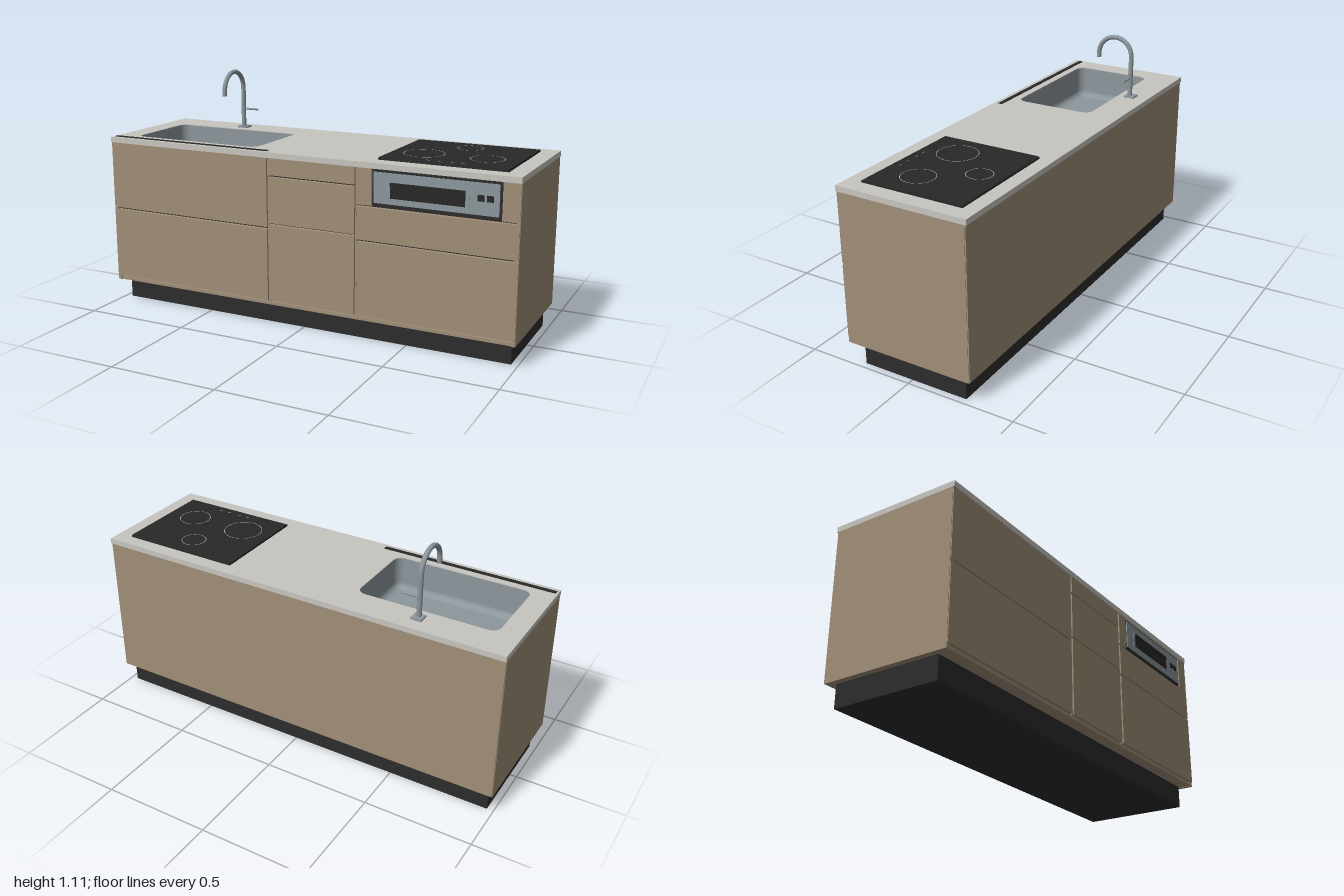
import * as THREE from 'three';

const mat = (name, color) => Object.assign(new THREE.MeshStandardMaterial({ color }), { name });

export function createModel() {
  const wood = mat('wood front', 0xa08e78);
  const stone = mat('stone worktop', 0xc6c5be);
  const dark = mat('dark plinth', 0x2c2c2c);
  const black = mat('black glass', 0x282829);
  const steel = mat('brushed steel', 0x8c969c);
  steel.side = THREE.DoubleSide;
  const mark = mat('hob marking', 0xa8a8a8);

  const model = new THREE.Group();
  model.name = 'kitchenIsland';
  const add = (name, geo, material, x = 0, y = 0, z = 0, parent = model) => {
    const m = new THREE.Mesh(geo, material);
    m.name = name;
    m.position.set(x, y, z);
    parent.add(m);
    return m;
  };
  // Box given by its limits on each axis
  const box = (name, material, x0, x1, y0, y1, z0, z1, parent) =>
    add(name, new THREE.BoxGeometry(x1 - x0, y1 - y0, z1 - z0), material,
      (x0 + x1) / 2, (y0 + y1) / 2, (z0 + z1) / 2, parent);
  const group = (name) => {
    const g = new THREE.Group();
    g.name = name;
    model.add(g);
    return g;
  };

  const TOP = 0.812, UNDER = 0.787;

  // Plinth and carcass, open at the top for the basin
  box('plinth', dark, -0.97, 0.97, 0, 0.104, -0.265, 0.24);
  const carcass = group('carcass');
  for (const s of [-1, 1])
    box('sidePanel', wood, Math.min(s, s * 0.982), Math.max(s, s * 0.982), 0.102, UNDER, -0.298, 0.3, carcass);
  box('backPanel', wood, -0.998, 0.998, 0.104, UNDER, -0.303, -0.292, carcass);
  box('bottomPanel', wood, -0.982, 0.982, 0.104, 0.119, -0.292, 0.298, carcass);
  box('shadowGap', dark, -0.982, 0.982, 0.119, UNDER, 0.272, 0.284, carcass);
  for (const x of [-0.147, 0.283])
    box('divider', wood, x - 0.0035, x + 0.0035, 0.104, UNDER, 0.27, 0.299, carcass);

  // Drawer fronts: [x0, x1, [y0, y1], ...]
  const fronts = group('drawerFronts');
  const columns = [
    [-0.998, -0.153, [0.125, 0.46], [0.47, UNDER]],
    [-0.141, 0.277, [0.125, 0.482], [0.49, 0.7], [0.709, UNDER]],
    [0.289, 0.998, [0.125, 0.46], [0.47, 0.617]],
  ];
  for (const [x0, x1, ...rows] of columns)
    for (const [y0, y1] of rows) box('drawerFront', wood, x0, x1, y0, y1, 0.284, 0.304, fronts);
  box('ovenFiller', wood, 0.289, 0.356, 0.625, UNDER, 0.284, 0.304, fronts);
  box('ovenFiller', wood, 0.924, 0.998, 0.625, UNDER, 0.284, 0.304, fronts);

  // Grill oven
  const oven = group('grillOven');
  box('ovenFrame', dark, 0.358, 0.922, 0.627, 0.783, 0.272, 0.3, oven);
  box('ovenFace', steel, 0.366, 0.912, 0.64, 0.774, 0.298, 0.305, oven);
  box('ovenDoor', steel, 0.426, 0.786, 0.658, 0.744, 0.3, 0.307, oven);
  box('ovenWindow', black, 0.442, 0.77, 0.667, 0.735, 0.303, 0.309, oven);
  box('ovenHandle', black, 0.442, 0.77, 0.72, 0.735, 0.305, 0.312, oven);
  for (const x of [0.835, 0.874])
    box('ovenButton', black, x - 0.014, x + 0.014, 0.698, 0.724, 0.302, 0.308, oven);

  // Rounded rectangle around the basin, shrunk by an inset
  const basin = { x0: -0.9, x1: -0.25, z0: -0.157, z1: 0.23, r: 0.042 };
  const outline = (inset) => {
    const { x0, x1, z0, z1, r } = basin, pts = [], rr = r - inset;
    [[x1 - r, z1 - r], [x0 + r, z1 - r], [x0 + r, z0 + r], [x1 - r, z0 + r]].forEach(([cx, cz], q) => {
      for (let i = 0; i <= 8; i++) {
        const a = (q + i / 8) * Math.PI / 2;
        pts.push(new THREE.Vector2(cx + rr * Math.cos(a), cz + rr * Math.sin(a)));
      }
    });
    return pts;
  };

  // Worktop with the basin cut out
  const slab = new THREE.Shape([[-1, -0.308], [1, -0.308], [1, 0.308], [-1, 0.308]]
    .map(([x, z]) => new THREE.Vector2(x, z)));
  slab.holes.push(new THREE.Path(outline(0)));
  add('worktop', new THREE.ExtrudeGeometry(slab, { depth: TOP - UNDER, bevelEnabled: false })
    .rotateX(Math.PI / 2), stone, 0, TOP, 0);
  box('worktopSlot', black, -0.99, -0.16, TOP - 0.002, TOP + 0.002, 0.265, 0.287);

  // Basin wall: loops going down, then a quarter-round into the floor
  const FLOOR = 0.657, sink = group('sink');
  const levels = [[0.001, TOP - 0.003], [0.003, FLOOR + 0.03]];
  for (let i = 1; i <= 6; i++) {
    const a = i / 6 * Math.PI / 2;
    levels.push([0.003 + 0.03 * (1 - Math.cos(a)), FLOOR + 0.03 * (1 - Math.sin(a))]);
  }
  const pos = [], idx = [], n = outline(0).length;
  levels.forEach(([inset, y], l) => {
    outline(inset).forEach((p, i) => {
      pos.push(p.x, y, p.y);
      if (l === 0) return;
      const j = (i + 1) % n, a = (l - 1) * n, b = l * n;
      idx.push(a + i, a + j, b + i, a + j, b + j, b + i);
    });
  });
  const wall = new THREE.BufferGeometry();
  wall.setAttribute('position', new THREE.Float32BufferAttribute(pos, 3));
  wall.setIndex(idx);
  wall.computeVertexNormals();
  add('basinWall', wall, steel, 0, 0, 0, sink);
  // Floor faces up: mirror the outline, then lay it down
  const floorShape = new THREE.Shape(outline(0.033).map((p) => new THREE.Vector2(p.x, -p.y)));
  add('basinFloor', new THREE.ShapeGeometry(floorShape).rotateX(-Math.PI / 2), steel, 0, FLOOR, 0, sink);

  // Drain with grille bars
  const dx = -0.395, dz = -0.024;
  add('drainRim', new THREE.TorusGeometry(0.029, 0.003, 8, 32).rotateX(Math.PI / 2), steel, dx, FLOOR + 0.002, dz, sink);
  for (const o of [-0.018, -0.006, 0.006, 0.018])
    box('drainSlot', black, dx + o - 0.004, dx + o + 0.004, FLOOR, FLOOR + 0.003, dz - 0.02, dz + 0.02, sink);

  // Tap: post, half-circle bend, short drop
  const tap = group('tap'), tx = -0.576, tz = -0.213, R = 0.0865, bendY = 1.012;
  const path = [new THREE.Vector3(0, TOP, 0), new THREE.Vector3(0, 0.91, 0)];
  for (let i = 0; i <= 16; i++) {
    const a = i / 16 * Math.PI;
    path.push(new THREE.Vector3(0, bendY + R * Math.sin(a), R - R * Math.cos(a)));
  }
  path.push(new THREE.Vector3(0, 0.99, 2 * R));
  add('spout', new THREE.TubeGeometry(new THREE.CatmullRomCurve3(path), 64, 0.0112, 16), steel, tx, 0, tz, tap);
  add('spoutTip', new THREE.CylinderGeometry(0.011, 0.011, 0.004, 16), dark, tx, 0.991, tz + 2 * R, tap);
  box('tapBase', steel, tx - 0.025, tx + 0.025, TOP, TOP + 0.008, -0.244, -0.194, tap);
  add('tapLever', new THREE.CylinderGeometry(0.005, 0.005, 0.08, 12).rotateZ(Math.PI / 2), steel, tx + 0.041, 0.907, tz, tap);

  // Induction hob
  const hob = group('hob'), hobTop = 0.822;
  box('hobGlass', black, 0.356, 0.925, TOP, hobTop, -0.238, 0.233, hob);
  for (const [z0, z1] of [[-0.242, -0.238], [0.233, 0.237]])
    box('hobTrim', dark, 0.356, 0.925, TOP, hobTop - 0.002, z0, z1, hob);
  for (const [x, z, r] of [[0.5, 0.07, 0.09], [0.64, -0.132, 0.057], [0.782, 0.066, 0.074]])
    add('cookingZone', new THREE.RingGeometry(r - 0.002, r + 0.001, 64).rotateX(-Math.PI / 2), mark, x, hobTop + 0.001, z, hob);
  for (const x of [0.565, 0.613, 0.674, 0.722])
    box('hobControl', mark, x - 0.008, x + 0.008, hobTop, hobTop + 0.001, 0.198, 0.201, hob);

  return model;
}
